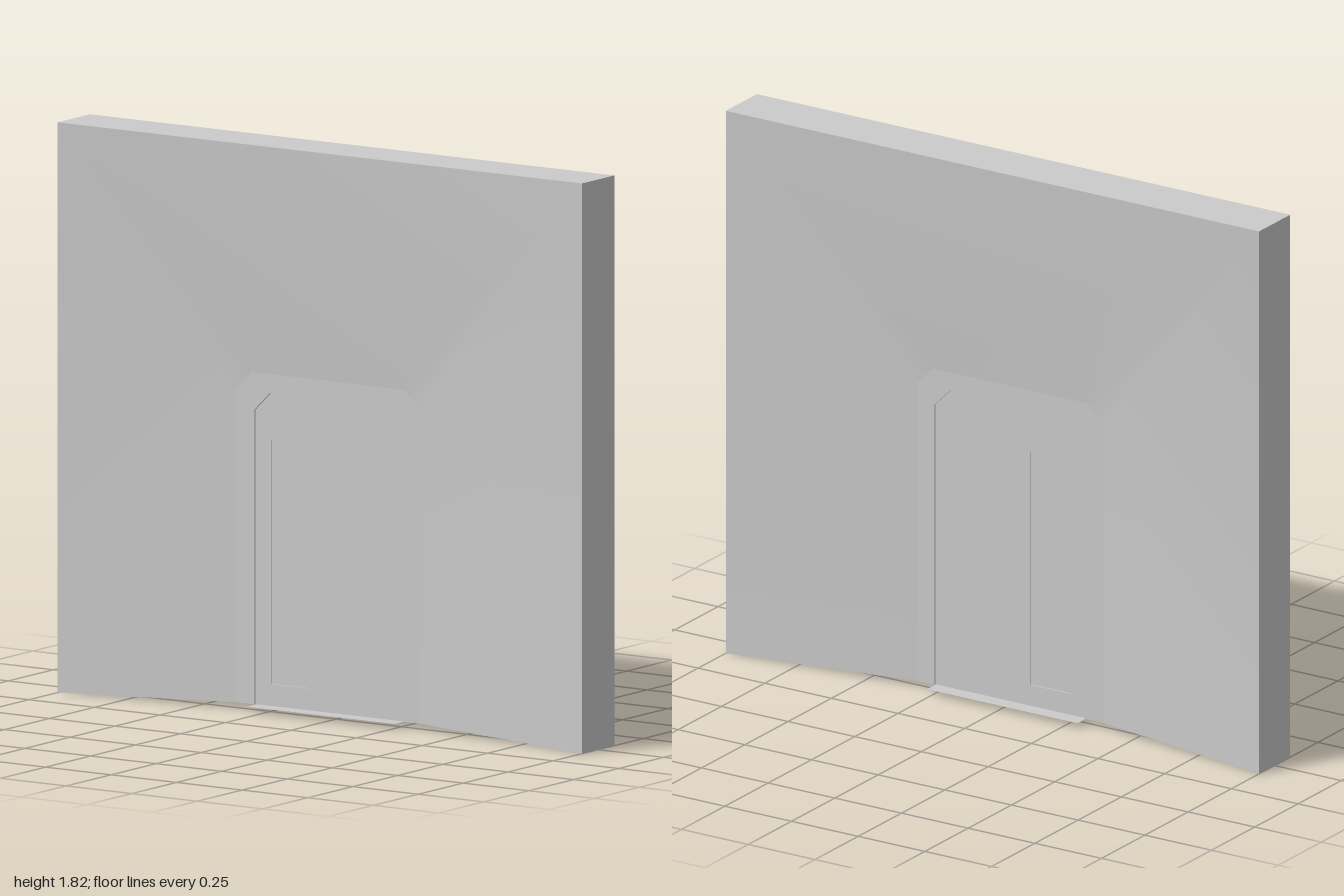
import * as THREE from 'three';
import { toCreasedNormals } from 'three/addons/utils/BufferGeometryUtils.js';

const W = 1, H = 1.82, D = 0.09;      // wall half width, height, half depth
const FRAME_Z = 0.017;                // half depth of the frame
const DOOR_Z = 0.01;                  // half depth of the door leaf
const SILL = 0.02;

const material = new THREE.MeshStandardMaterial({ color: 0xcccccc, side: THREE.DoubleSide });

// Opening outline with chamfered upper corners, from bottom left round to bottom right
function arch(x0, x1, y0, y1, c) {
  return [[x0, y0], [x0, y1 - c], [x0 + c, y1], [x1 - c, y1], [x1, y1 - c], [x1, y0]];
}
const points = (list) => list.map(([x, y]) => new THREE.Vector2(x, y));

const outer = arch(-0.37, 0.33, SILL, 1.08, 0.06);
const inner = arch(-0.3, 0.265, SILL, 1.02, 0.06);
const slot = [[-0.24, 0.09], [-0.09, 0.09], [-0.09, 0.87], [-0.24, 0.87]];

function addMesh(group, name, geometry) {
  const mesh = new THREE.Mesh(geometry, material);
  mesh.name = name;
  group.add(mesh);
  return mesh;
}

// Extrusion centred on z = 0
function slab(outline, holes, halfDepth) {
  const shape = new THREE.Shape(points(outline));
  for (const hole of holes) shape.holes.push(new THREE.Path(points(hole)));
  const geometry = new THREE.ExtrudeGeometry(shape, { depth: halfDepth * 2, bevelEnabled: false });
  return geometry.translate(0, 0, -halfDepth);
}

// Panels that slope from the wall's rim in to the door frame
function funnel(side) {
  const pos = [];
  const rim = [[-W, 0], [-W, H], [W, H], [W, 0]].map(([x, y]) => [x, y, side * D]);
  const hole = outer.map(([x, y]) => [x, y, side * FRAME_Z]);
  const tri = (a, b, c) => pos.push(...a, ...(side > 0 ? [...b, ...c] : [...c, ...b]));
  const quad = (a, b, c, d) => { tri(a, b, c); tri(a, c, d); };
  quad(rim[0], hole[0], hole[1], rim[1]);   // right-hand panel
  tri(rim[1], hole[1], hole[2]);            // corner sliver
  quad(rim[1], hole[2], hole[3], rim[2]);   // panel above the door
  tri(rim[2], hole[3], hole[4]);            // corner sliver
  quad(rim[2], hole[4], hole[5], rim[3]);   // left-hand panel
  const geometry = new THREE.BufferGeometry();
  geometry.setAttribute('position', new THREE.Float32BufferAttribute(pos, 3));
  return toCreasedNormals(geometry, 0.5);
}

export function createModel() {
  const model = new THREE.Group();
  model.name = 'doorwayWall';

  // Wall: sloping panels front and back, open underneath
  const wall = new THREE.Group();
  wall.name = 'wall';
  model.add(wall);
  addMesh(wall, 'frontPanels', funnel(1));
  addMesh(wall, 'backPanels', funnel(-1));

  // Flat top and ends of the wall
  const top = addMesh(wall, 'wallTop', new THREE.PlaneGeometry(W * 2, D * 2));
  top.rotation.x = -Math.PI / 2;
  top.position.y = H;
  for (const s of [-1, 1]) {
    const end = addMesh(wall, s > 0 ? 'leftEnd' : 'rightEnd', new THREE.PlaneGeometry(D * 2, H));
    end.rotation.y = s * Math.PI / 2;
    end.position.set(s * W, H / 2, 0);
  }

  // Door frame: a chamfered band around the opening
  addMesh(model, 'doorFrame', slab([...outer, ...[...inner].reverse()], [], FRAME_Z));

  // Door leaf, set back in the frame, with a shallow slot on both faces
  const door = new THREE.Group();
  door.name = 'door';
  model.add(door);
  addMesh(door, 'doorLeaf', slab(inner, [slot], DOOR_Z));
  addMesh(door, 'slotPanel', slab(slot, [], DOOR_Z - 0.005));

  // Thin threshold plate under the door
  const threshold = addMesh(model, 'threshold', new THREE.PlaneGeometry(0.565, 0.12));
  threshold.rotation.x = -Math.PI / 2;
  threshold.position.set(-0.0175, SILL - 0.001, 0);

  return model;
}
